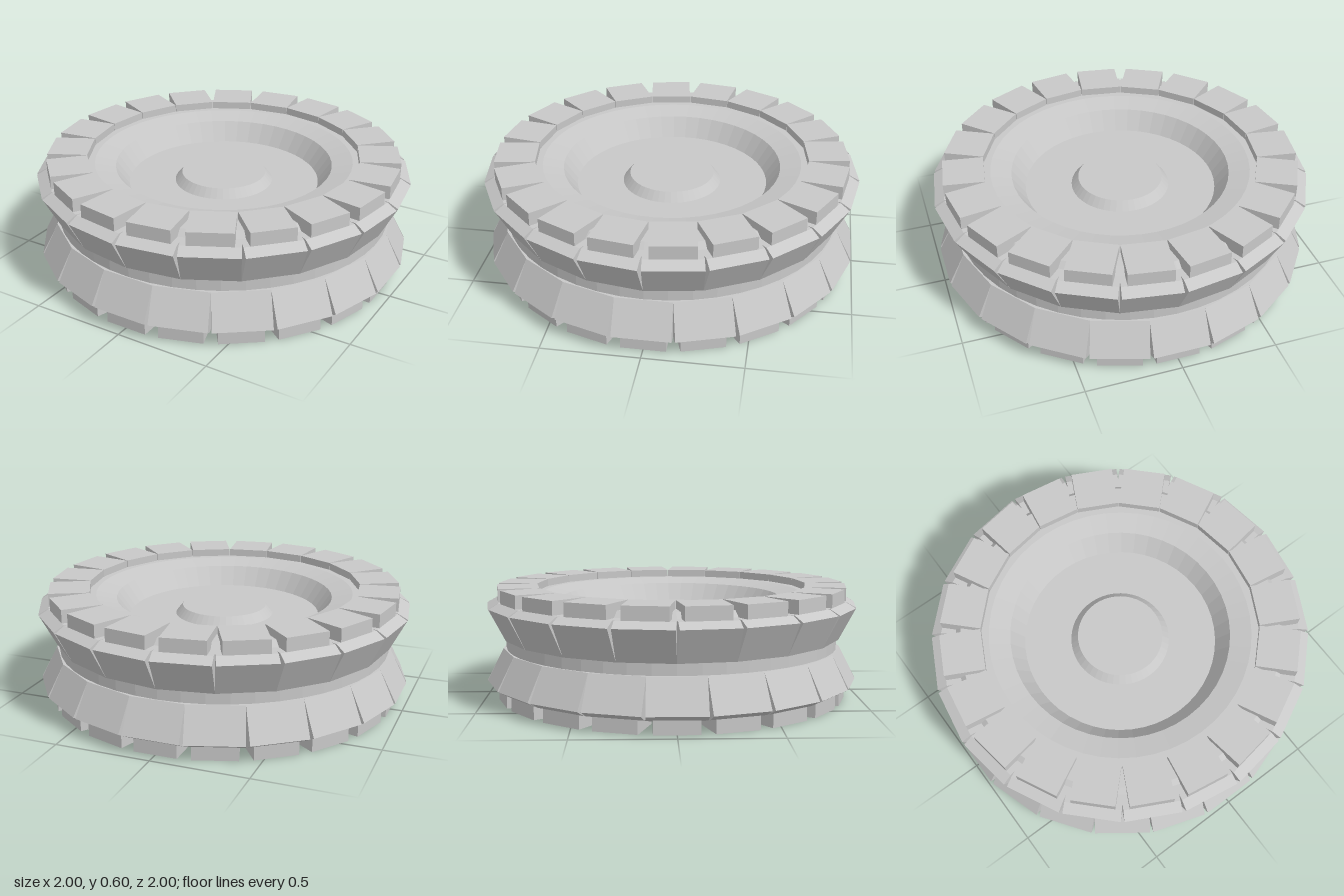
import * as THREE from 'three';

const SEGMENTS = 20;
const STEP = (Math.PI * 2) / SEGMENTS;
const MID = 0.3;

// Splits shared vertices so every face is shaded flat
function faceted(geometry) {
  const flat = geometry.toNonIndexed();
  flat.computeVertexNormals();
  return flat;
}

// Tapered lug: a (radius, height) outline swept sideways, widening outward
function rimLugGeometry() {
  const outline = new THREE.Shape([
    [0.84, 0.33], [0.9, 0.33], [0.988, 0.5], [0.935, 0.53], [0.84, 0.53],
  ].map(([r, y]) => new THREE.Vector2(r, y - MID)));
  const geometry = new THREE.ExtrudeGeometry(outline, { depth: 2, bevelEnabled: false });
  geometry.translate(0, 0, -1);
  const p = geometry.attributes.position;
  for (let i = 0; i < p.count; i++) {
    const r = p.getX(i);
    p.setZ(i, p.getZ(i) * (0.1425 + (r - 0.9) * 0.05));
  }
  geometry.rotateY(-Math.PI / 2); // radius now runs along +z
  return faceted(geometry);
}

export function createModel() {
  const model = new THREE.Group();
  model.name = 'wheel';
  const grey = new THREE.MeshStandardMaterial({ color: 0xc8c8c8 });
  grey.name = 'grey';

  // Core disc with raised hub, dish and waist, the same on both faces
  const upper = [
    [0.895, 0.5], [0.84, 0.56], [0.69, 0.56], [0.58, 0.535],
    [0.51, 0.435], [0.262, 0.435], [0.225, 0.48], [0, 0.48],
  ];
  const lower = upper.map(([r, y]) => [r, 2 * MID - y]).reverse();
  const profile = [...lower, ...upper].map(([r, y]) => new THREE.Vector2(r, y));
  const core = new THREE.Mesh(faceted(new THREE.LatheGeometry(profile, 48)), grey);
  core.name = 'coreDisc';
  model.add(core);

  // Outer lugs and side blocks
  const lugGeometry = rimLugGeometry();
  const blockGeometry = new THREE.BoxGeometry(0.225, 0.08, 0.215);
  blockGeometry.translate(0, 0.56 - MID, 0.8275);

  function treadRing(name, offset) {
    const ring = new THREE.Group();
    ring.name = name;
    ring.position.y = MID;
    for (let i = 0; i < SEGMENTS; i++) {
      const lug = new THREE.Mesh(lugGeometry, grey);
      lug.name = 'rimLug';
      const block = new THREE.Mesh(blockGeometry, grey);
      block.name = 'sideBlock';
      lug.rotation.y = block.rotation.y = i * STEP + offset;
      ring.add(lug, block);
    }
    return ring;
  }

  // The lower ring is flipped and staggered by half a step
  model.add(treadRing('upperTread', STEP / 2));
  const lowerTread = treadRing('lowerTread', 0);
  lowerTread.rotation.x = Math.PI;
  model.add(lowerTread);
  return model;
}
